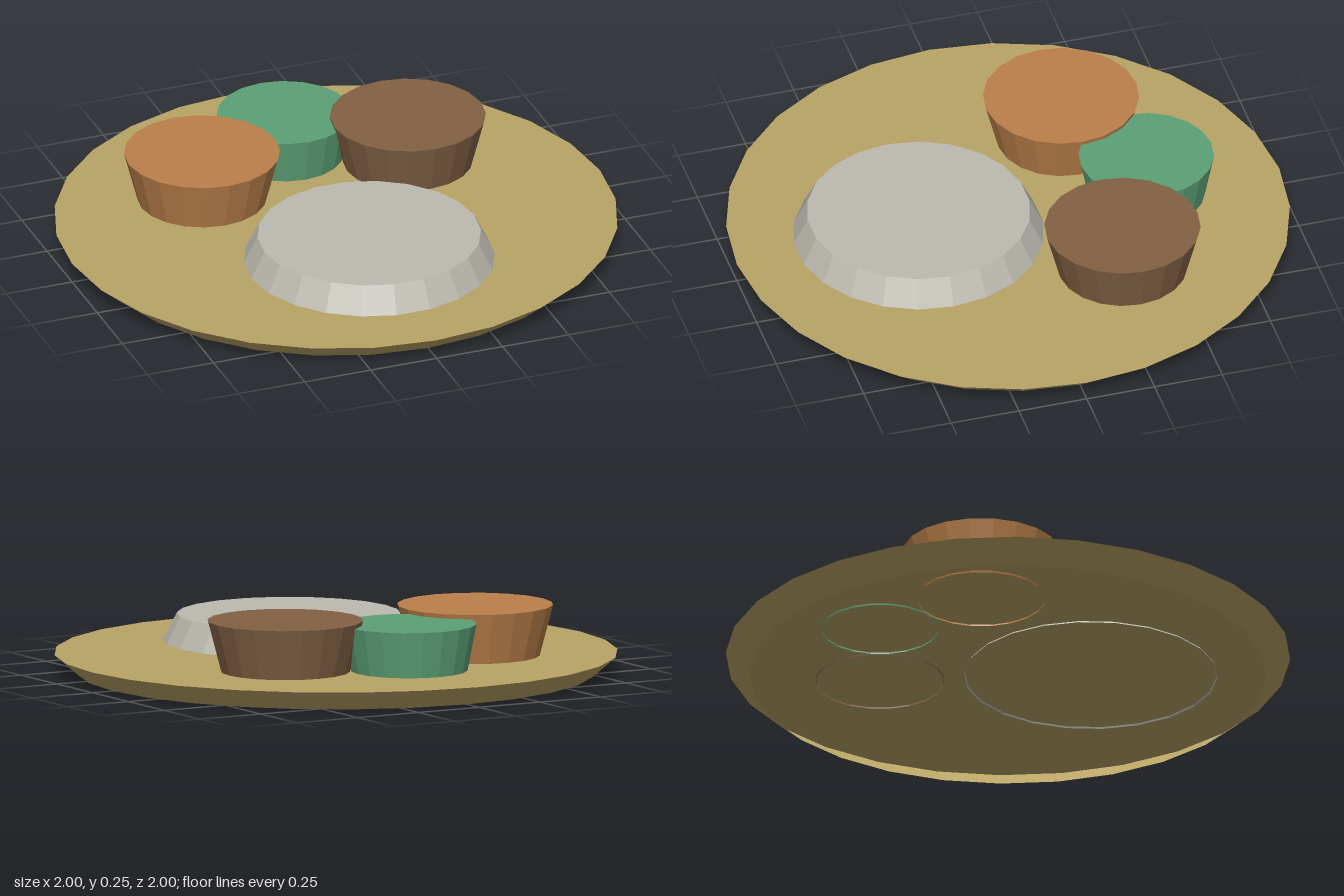
import * as THREE from 'three';

const material = (name, color) =>
  new THREE.MeshStandardMaterial({ name, color, flatShading: true, side: THREE.DoubleSide });

// Round vessel, open underneath: a sloping wall closed by a flat disc on top.
function vessel(name, mat, { bottomR, topR, y0, y1, x = 0, z = 0, sides, turn = 0 }) {
  const profile = [
    new THREE.Vector2(bottomR, y0),
    new THREE.Vector2(topR, y1),
    new THREE.Vector2(0, y1),
  ];
  const mesh = new THREE.Mesh(new THREE.LatheGeometry(profile, sides), mat);
  mesh.name = name;
  mesh.position.set(x, 0, z);
  mesh.rotation.y = turn;
  return mesh;
}

export function createModel() {
  const model = new THREE.Group();
  model.name = 'platter';

  const brass = material('brass', 0xb8a465);
  const grey = material('warm grey', 0xbdbab0);
  const orange = material('orange', 0xba7f49);
  const brown = material('brown', 0x826144);
  const green = material('green', 0x5ca176);

  const base = 0.066; // dishes sink slightly into the tray

  // Wide tray with a bevelled rim
  model.add(vessel('tray', brass, { bottomR: 0.916, topR: 1, y0: 0, y1: 0.072, sides: 28 }));

  // Low mound at the front
  model.add(vessel('frontMound', grey, {
    bottomR: 0.449, topR: 0.397, y0: base, y1: 0.17, z: 0.33, sides: 22, turn: Math.PI / 2,
  }));

  // Matching pair of tall bowls
  for (const [name, mat, side] of [['rightBowl', orange, -1], ['leftBowl', brown, 1]]) {
    model.add(vessel(name, mat, {
      bottomR: 0.228, topR: 0.277, y0: base, y1: 0.254, x: side * 0.39, z: -0.309, sides: 20,
    }));
  }

  // Smaller bowl at the back
  model.add(vessel('backBowl', green, {
    bottomR: 0.207, topR: 0.24, y0: base, y1: 0.238, z: -0.51, sides: 20,
  }));

  return model;
}
